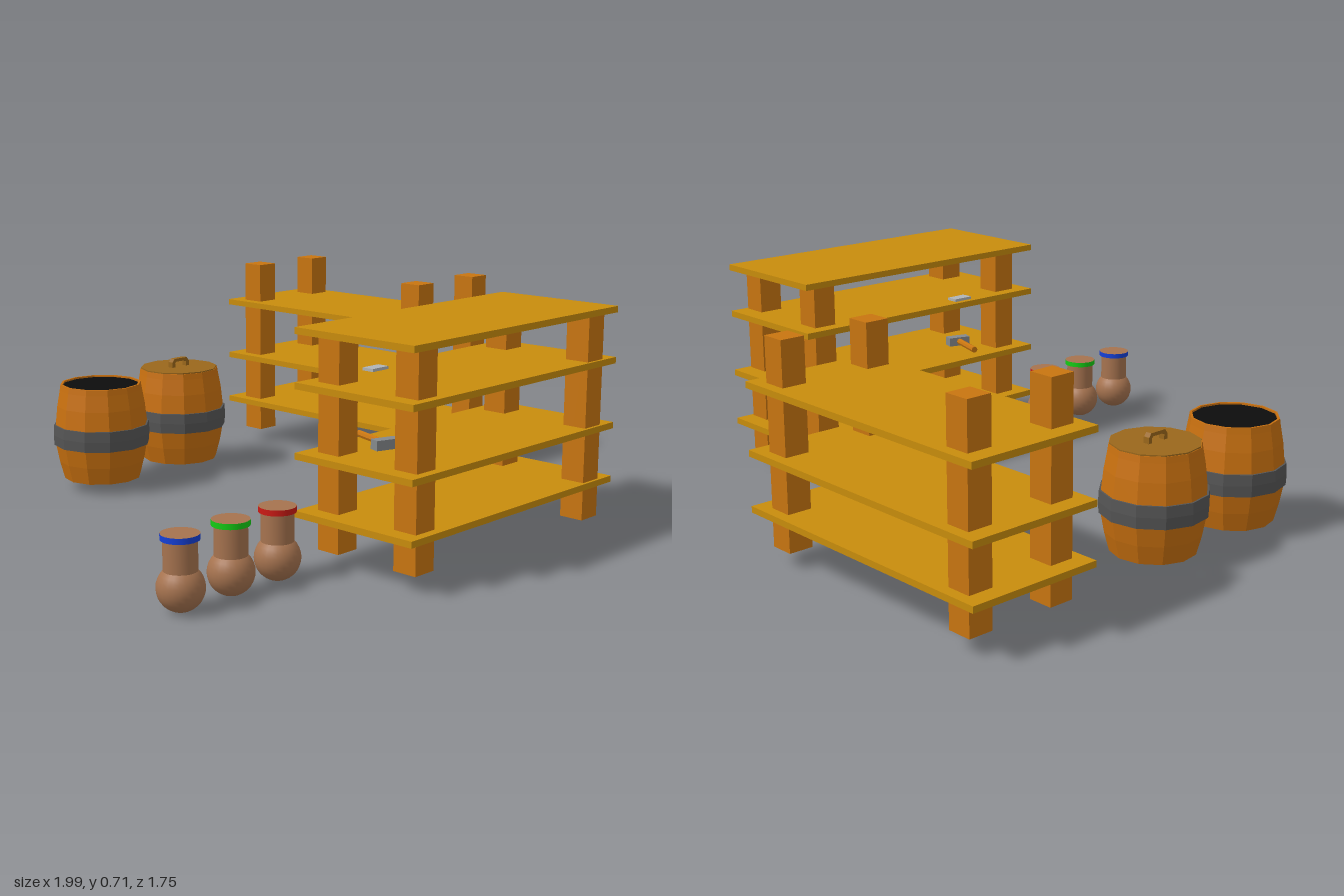
import * as THREE from 'three';

const mat = (color, flatShading = true) => new THREE.MeshStandardMaterial({ color, flatShading });
const PLANK = mat(0xc88c0c), POST = mat(0xc87510), BARREL = mat(0xc8700f), LID = mat(0x9a671b);
const IRON = mat(0x555555), STEEL = mat(0x85898c), BLACK = mat(0x0c0c0c), CLAY = mat(0xa6734f, false);

function add(parent, name, geometry, material, x = 0, y = 0, z = 0) {
  const mesh = new THREE.Mesh(geometry, material);
  mesh.name = name;
  mesh.position.set(x, y, z);
  parent.add(mesh);
  return mesh;
}

const box = (w, h, d) => new THREE.BoxGeometry(w, h, d);
const lathe = (pts, n) => new THREE.LatheGeometry(pts.map(p => new THREE.Vector2(...p)), n);

// Four posts carrying a stack of planks
function shelf(name, x, z, w, d, levels, posts) {
  const g = new THREE.Group();
  g.name = name;
  for (const y of levels) add(g, 'plank', box(w, 0.02, d), PLANK, x, y, z);
  for (const [px, pz] of posts) add(g, 'post', box(0.08, 0.64, 0.08), POST, px, 0.37, pz);
  return g;
}

// Twelve-sided barrel with an iron band, open or closed by a lid
function barrel(name, x, z, turn, lidded) {
  const g = new THREE.Group();
  g.name = name;
  g.position.set(x, 0, z);
  const body = lathe([[0, 0.035], [0.132, 0.035], [0.148, 0.095], [0.159, 0.155], [0.159, 0.225],
    [0.152, 0.29], [0.142, 0.345], [0.139, 0.365], [0.132, 0.365], [0.132, 0.345]], 12);
  const band = lathe([[0.157, 0.155], [0.165, 0.155], [0.167, 0.19], [0.165, 0.225], [0.157, 0.225]], 12);
  add(g, 'staves', body, BARREL).rotation.y = turn;
  add(g, 'band', band, IRON).rotation.y = turn;
  if (lidded) {
    add(g, 'lid', new THREE.CylinderGeometry(0.137, 0.137, 0.018, 12), LID, 0, 0.36, 0).rotation.y = turn;
    // Arched grip
    for (const s of [-1, 1]) add(g, 'gripLeg', box(0.014, 0.022, 0.02), LID, s * 0.033, 0.377, 0);
    const arch = new THREE.Shape();
    [[-0.04, 0.385], [-0.026, 0.385], [-0.02, 0.389], [0.02, 0.389], [0.026, 0.385],
      [0.04, 0.385], [0.03, 0.4], [-0.03, 0.4]].forEach(([a, b], i) => i ? arch.lineTo(a, b) : arch.moveTo(a, b));
    add(g, 'grip', new THREE.ExtrudeGeometry(arch, { depth: 0.02, bevelEnabled: false }), LID, 0, 0, -0.01);
  } else {
    const hole = add(g, 'opening', new THREE.CylinderGeometry(0.134, 0.134, 0.01, 12), BLACK, 0, 0.354, 0);
    hole.rotation.y = turn;
  }
  return g;
}

// Round clay flask with a coloured ring at the mouth
function flask(name, x, color) {
  const g = new THREE.Group();
  g.name = name;
  g.position.set(x, 0, 0.478);
  add(g, 'bulb', new THREE.SphereGeometry(0.068, 24, 16), CLAY, 0, 0.068, 0);
  add(g, 'neck', new THREE.CylinderGeometry(0.048, 0.048, 0.12, 24), CLAY, 0, 0.15, 0);
  add(g, 'ring', new THREE.CylinderGeometry(0.055, 0.055, 0.017, 24, 1, true), mat(color, false), 0, 0.2115, 0);
  for (const s of [-1, 1]) {
    const cap = add(g, 'mouth', new THREE.CircleGeometry(0.055, 24), CLAY, 0, 0.2115 + s * 0.0085, 0);
    cap.rotation.x = -s * Math.PI / 2;
  }
  return g;
}

export function createModel() {
  const model = new THREE.Group();
  model.name = 'storeroom';

  model.add(shelf('frontShelf', 0.05, 0.65, 0.98, 0.44, [0.7, 0.54, 0.333, 0.16],
    [[-0.347, 0.802], [-0.347, 0.513], [0.44, 0.82], [0.44, 0.513]]));
  model.add(shelf('sideShelf', 0.775, -0.39, 0.44, 0.98, [0.54, 0.333, 0.16],
    [[0.632, -0.785], [0.92, -0.785], [0.62, 0.005], [0.92, 0.005]]));

  model.add(barrel('openBarrel', -0.245, -0.685, 0, false));
  model.add(barrel('liddedBarrel', 0.13, -0.7, -0.1, true));

  model.add(flask('blueFlask', -0.93, 0x1540d8));
  model.add(flask('greenFlask', -0.743, 0x14cc14));
  model.add(flask('redFlask', -0.56, 0xcc1a14));

  // Hammer lying on the middle plank
  const hammer = new THREE.Group();
  hammer.name = 'hammer';
  hammer.position.set(-0.232, 0.362, 0.595);
  hammer.rotation.y = -0.3;
  add(hammer, 'hammerHead', box(0.078, 0.03, 0.035), STEEL);
  add(hammer, 'hammerHandle', new THREE.CylinderGeometry(0.011, 0.011, 0.15, 8), POST, 0, 0, -0.073)
    .rotation.x = Math.PI / 2;
  model.add(hammer);

  // Small flat plate on the upper plank
  add(model, 'plate', box(0.07, 0.01, 0.04), mat(0xb0b4b6), -0.135, 0.554, 0.47);
  return model;
}
